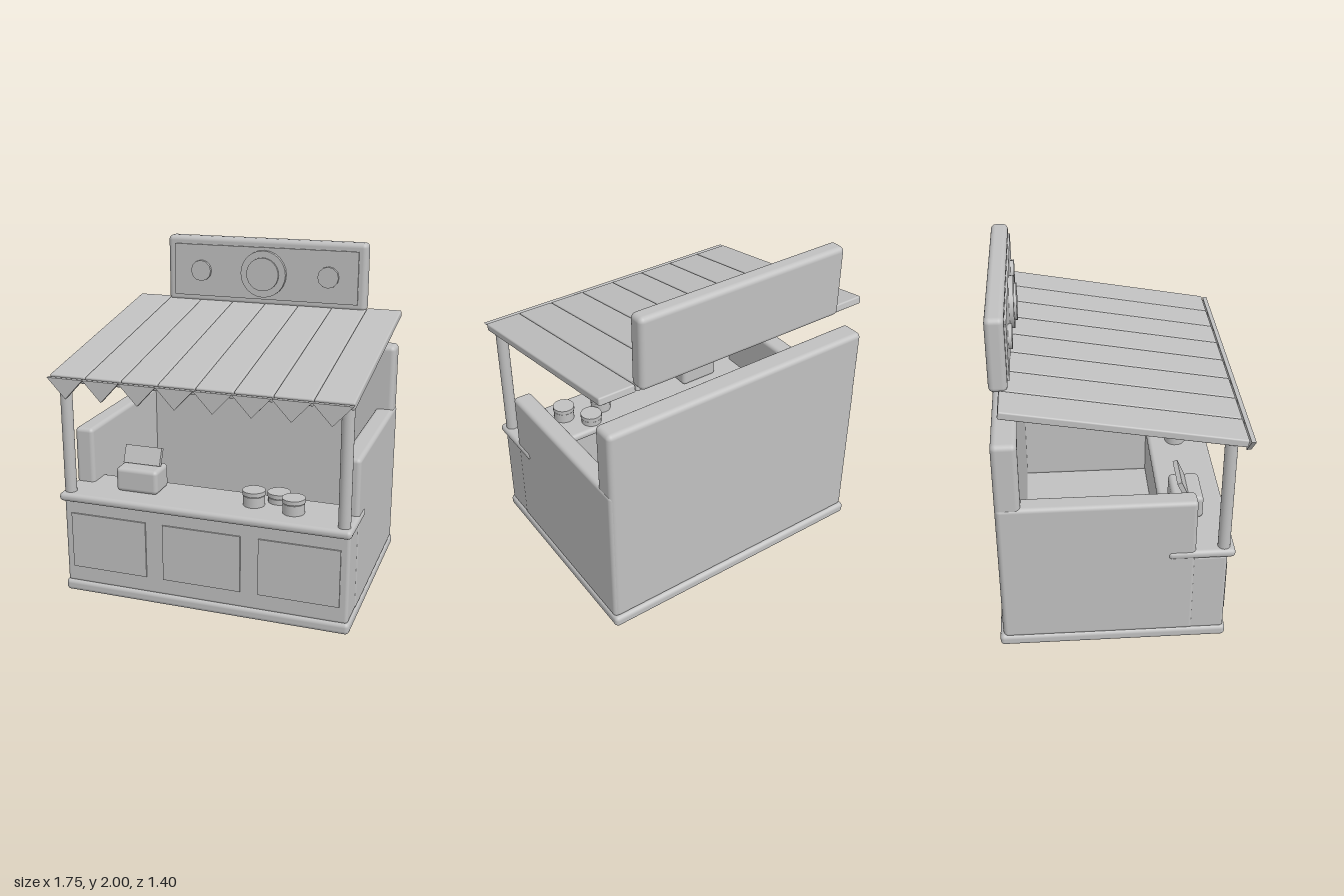
import * as THREE from 'three';
import { RoundedBoxGeometry } from 'three/addons/geometries/RoundedBoxGeometry.js';

export function createModel() {
  const stall = new THREE.Group();
  stall.name = 'marketStall';
  const grey = new THREE.MeshStandardMaterial({ color: 0xc0c0c0 });
  grey.name = 'plain grey';

  const add = (name, geometry, x, y, z, parent = stall) => {
    const mesh = new THREE.Mesh(geometry, grey);
    mesh.name = name;
    mesh.position.set(x, y, z);
    parent.add(mesh);
    return mesh;
  };
  // Box given by its extents, with rounded edges when r > 0
  const box = (name, [x0, x1], [y0, y1], [z0, z1], r = 0) => {
    const size = [x1 - x0, y1 - y0, z1 - z0];
    const geometry = r ? new RoundedBoxGeometry(...size, 3, r) : new THREE.BoxGeometry(...size);
    return add(name, geometry, (x0 + x1) / 2, (y0 + y1) / 2, (z0 + z1) / 2);
  };

  // Base, walls and counter
  box('base', [-0.873, 0.873], [0, 0.07], [-0.698, 0.614], 0.025);
  box('backWall', [-0.862, 0.862], [0.06, 1.38], [-0.68, -0.54], 0.03);
  for (const s of [-1, 1]) {
    const wall = box(s > 0 ? 'leftWall' : 'rightWall', [-0.058, 0.058], [0.06, 0.975], [-0.675, 0.42], 0.025);
    wall.position.x = s * 0.809;
  }
  box('counterBody', [-0.862, 0.862], [0.06, 0.595], [0.3, 0.6], 0.02);
  box('counterTop', [-0.875, 0.875], [0.588, 0.64], [0.262, 0.642], 0.024);
  for (const x of [-0.578, 0, 0.578]) {
    box('counterPanel', [x - 0.236, x + 0.236], [0.165, 0.508], [0.59, 0.609]);
  }

  // Front posts
  for (const s of [-1, 1]) {
    add(s > 0 ? 'leftPost' : 'rightPost', new THREE.CylinderGeometry(0.035, 0.035, 0.72, 20), s * 0.823, 0.99, 0.58);
  }

  // Sloping roof of planks
  const count = 8, pitch = 1.75 / count;
  const roof = new THREE.Group();
  roof.name = 'roof';
  roof.position.set(0, 1.461, 0.018);
  roof.rotation.x = 0.176;
  stall.add(roof);
  const plank = new RoundedBoxGeometry(pitch - 0.003, 0.045, 1.31, 2, 0.009);
  for (let i = 0; i < count; i++) add('roofPlank', plank, -0.875 + (i + 0.5) * pitch, 0, 0, roof);

  // Row of pennants along the front edge
  const flag = new THREE.Shape([
    new THREE.Vector2(-pitch / 2, 0), new THREE.Vector2(0, -0.118), new THREE.Vector2(pitch / 2, 0),
  ]);
  const flagGeometry = new THREE.ExtrudeGeometry(flag, { depth: 0.025, bevelEnabled: false });
  for (let i = 0; i < count; i++) add('pennant', flagGeometry, -0.875 + (i + 0.5) * pitch, 1.358, 0.675);

  // Sign board with raised panel and discs
  box('signBoard', [-0.656, 0.656], [1.575, 2], [-0.678, -0.577], 0.03);
  box('signPanel', [-0.606, 0.606], [1.62, 1.95], [-0.6, -0.566]);
  const disc = (name, x, r, front, sides) => {
    const depth = front + 0.58;
    add(name, new THREE.CylinderGeometry(r, r, depth, sides), x, 1.785, front - depth / 2).rotation.x = Math.PI / 2;
  };
  disc('signRing', 0, 0.148, -0.54, 24);
  disc('signDisc', 0, 0.105, -0.525, 24);
  for (const s of [-1, 1]) disc('signStud', s * 0.42, 0.067, -0.545, 12);

  // Cash register with a tilted screen
  box('registerBody', [-0.57, -0.31], [0.638, 0.785], [0.32, 0.5], 0.025);
  box('registerScreen', [-0.557, -0.328], [0.78, 0.888], [0.365, 0.393]).rotation.x = -0.42;

  // Lidded pots: x, z, height
  for (const [x, z, h] of [[0.262, 0.435, 0.09], [0.385, 0.345, 0.06], [0.508, 0.475, 0.09]]) {
    const pot = new THREE.Group();
    pot.name = 'pot';
    pot.position.set(x, 0.64, z);
    stall.add(pot);
    add('potBody', new THREE.CylinderGeometry(0.063, 0.063, h - 0.03, 18), 0, (h - 0.03) / 2, 0, pot);
    add('potNeck', new THREE.CylinderGeometry(0.056, 0.056, 0.012, 18), 0, h - 0.027, 0, pot);
    add('potLid', new THREE.CylinderGeometry(0.067, 0.067, 0.025, 18), 0, h - 0.0125, 0, pot);
  }
  return stall;
}
